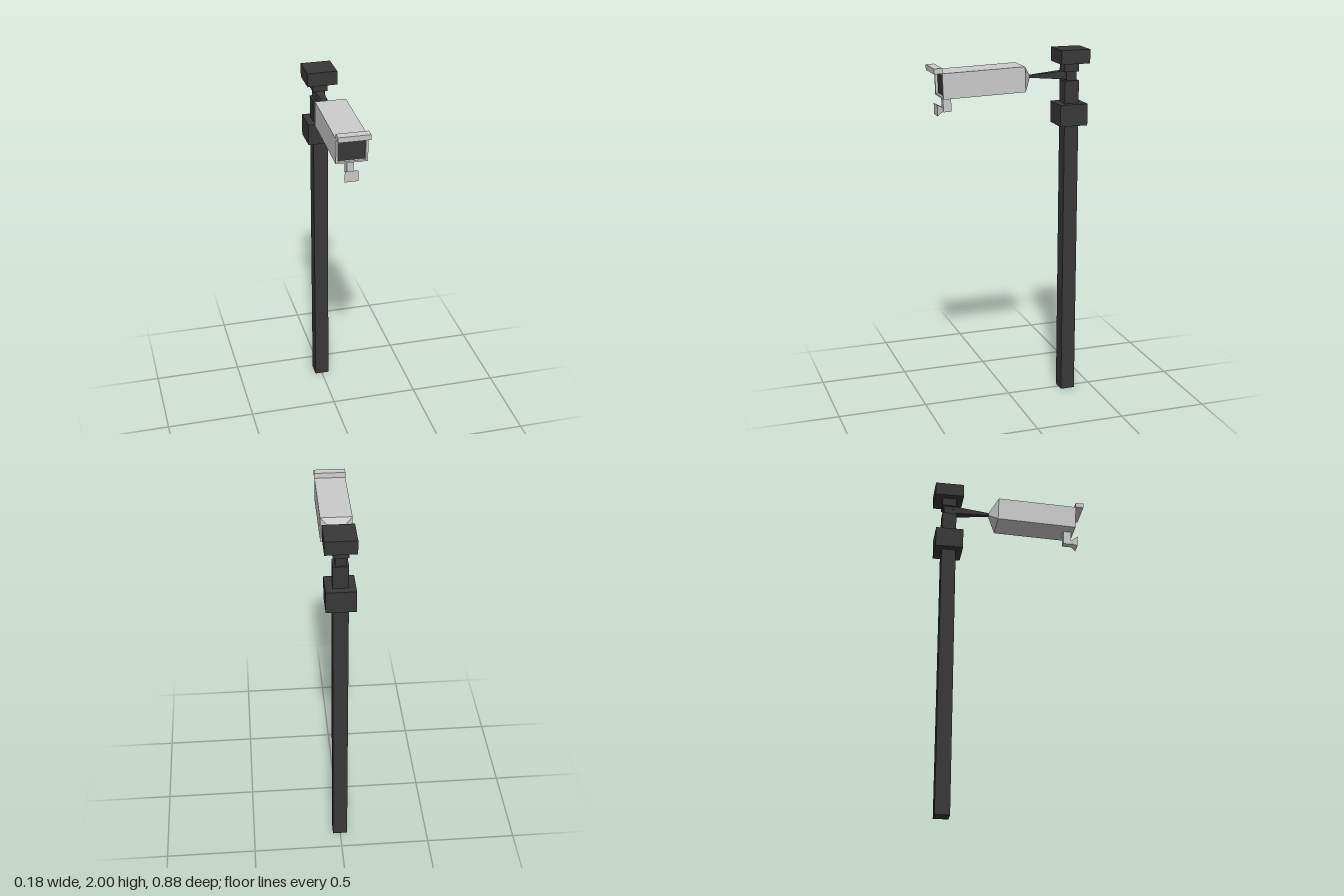
import * as THREE from 'three';

const grey = new THREE.MeshStandardMaterial({ color: 0xcccccc, flatShading: true });
const dark = new THREE.MeshStandardMaterial({ color: 0x383838, flatShading: true });

function add(parent, name, geometry, material, x, y, z) {
  const mesh = new THREE.Mesh(geometry, material);
  mesh.name = name;
  mesh.position.set(x, y, z);
  parent.add(mesh);
  return mesh;
}

// Box along z whose back end is scaled to a different width and height
function taperedBox(frontW, frontH, backW, backH, length) {
  const geometry = new THREE.BoxGeometry(frontW, frontH, length);
  const p = geometry.attributes.position;
  for (let i = 0; i < p.count; i++) {
    if (p.getZ(i) < 0) {
      p.setX(i, Math.sign(p.getX(i)) * backW / 2);
      p.setY(i, Math.sign(p.getY(i)) * backH / 2);
    }
  }
  geometry.computeVertexNormals();
  return geometry;
}

function rectangle(path, w, h) {
  return path.moveTo(-w / 2, -h / 2).lineTo(w / 2, -h / 2)
    .lineTo(w / 2, h / 2).lineTo(-w / 2, h / 2).closePath();
}

export function createModel() {
  const model = new THREE.Group();
  model.name = 'securityCamera';

  // Square post: [name, width, bottom, top, x, z]
  const post = [
    ['pole', 0.082, 0, 1.825, 0.001, -0.353],
    ['collar', 0.158, 1.58, 1.70, 0.002, -0.353],
    ['neck', 0.058, 1.825, 1.875, 0.001, -0.355],
    ['upperPole', 0.082, 1.875, 1.925, 0.001, -0.353],
    ['cap', 0.166, 1.923, 2, 0.004, -0.357],
  ];
  for (const [name, w, bottom, top, x, z] of post) {
    add(model, name, new THREE.BoxGeometry(w, top - bottom, w), dark, x, (bottom + top) / 2, z);
  }

  // Tapering arm from the neck to the camera
  add(model, 'arm', taperedBox(0.018, 0.013, 0.05, 0.048, 0.216), dark, -0.004, 1.855, -0.222);

  // Camera head, tipped slightly down
  const head = new THREE.Group();
  head.name = 'cameraHead';
  head.position.set(-0.005, 1.846, 0.16);
  head.rotation.set(0.033, -0.007, 0);
  model.add(head);

  const W = 0.168, H = 0.138, L = 0.46, recess = 0.015;
  add(head, 'housing', new THREE.BoxGeometry(W, H, L - recess), grey, 0, 0, -recess / 2);
  add(head, 'rearTaper', taperedBox(W, H, 0.02, 0.018, 0.048), grey, 0, 0, -L / 2 - 0.024);

  // Raised rim around the dark window
  const rim = rectangle(new THREE.Shape(), W, H);
  rim.holes.push(rectangle(new THREE.Path(), 0.144, 0.12));
  add(head, 'frontRim', new THREE.ExtrudeGeometry(rim, { depth: recess, bevelEnabled: false }),
    grey, 0, 0, L / 2 - recess);
  add(head, 'window', new THREE.PlaneGeometry(0.144, 0.12), dark, 0, 0, L / 2 - recess + 0.001);

  // Visor along the top front edge
  add(head, 'visor', new THREE.BoxGeometry(W + 0.002, 0.029, 0.046), grey, 0, 0.0835, 0.252);

  // Sensor hanging under the front
  add(head, 'sensorStem', new THREE.BoxGeometry(0.036, 0.084, 0.045), grey, -0.004, -0.109, 0.192);
  add(head, 'sensorHorn', taperedBox(0.072, 0.061, 0.03, 0.02, 0.038), grey, -0.006, -0.136, 0.233);

  return model;
}
